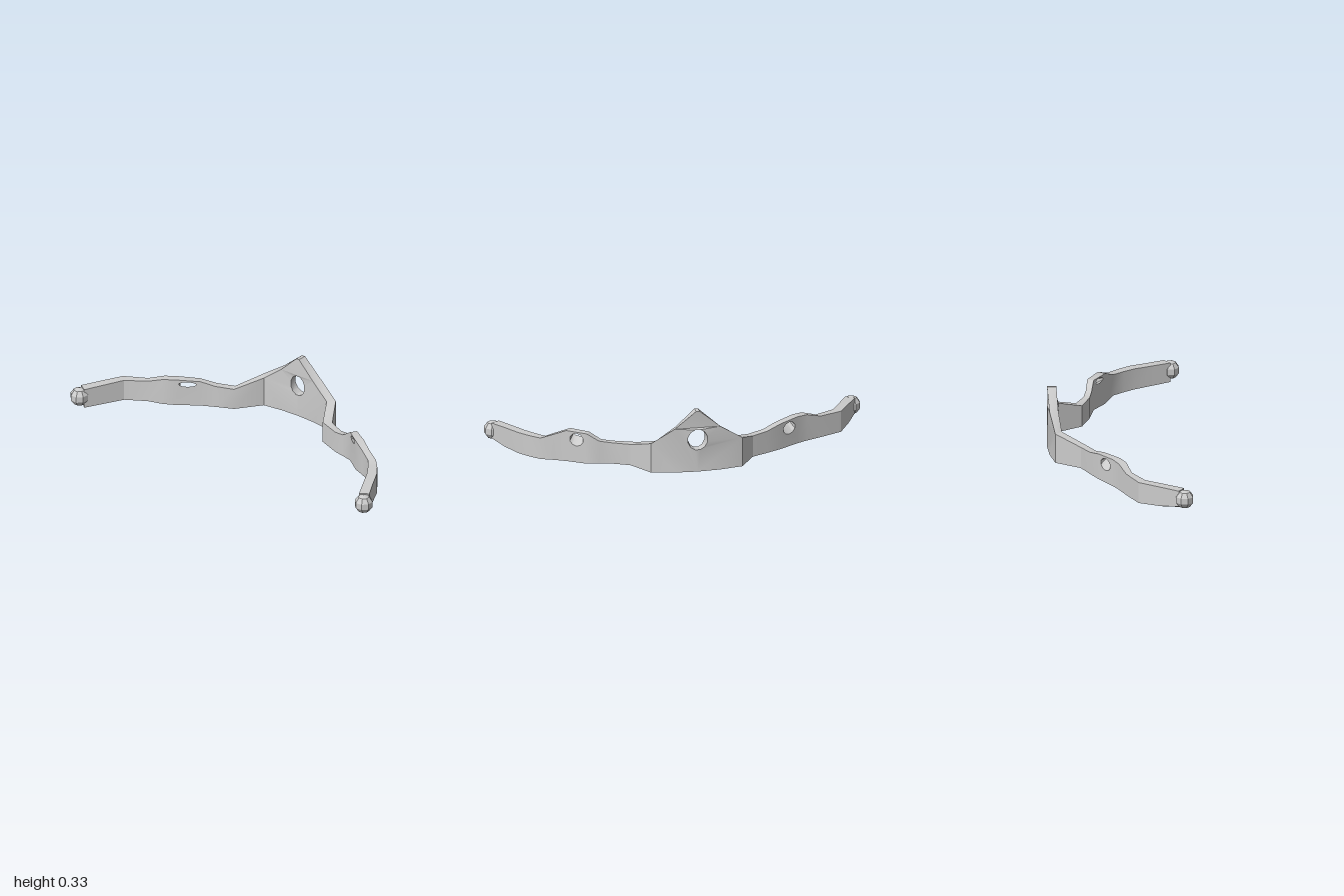
import * as THREE from 'three';
import { mergeGeometries, toCreasedNormals } from 'three/addons/utils/BufferGeometryUtils.js';

const material = new THREE.MeshStandardMaterial({ color: 0xcccccc, side: THREE.DoubleSide });

// Stations along the band: outer x, z, inner x, z, top height, outer bottom lift
const leftArm = [
  [-0.965, 0.285, -0.92, 0.315, 0.106, 0.022],
  [-0.915, 0.195, -0.87, 0.22, 0.11, 0.005],
  [-0.85, 0.08, -0.815, 0.115, 0.114, 0],
  [-0.73, 0.02, -0.71, 0.05, 0.117, 0],
  [-0.65, -0.015, -0.63, 0.025, 0.143, 0],
  [-0.595, -0.045, -0.575, -0.005, 0.147, 0],
  [-0.49, -0.115, -0.465, -0.085, 0.14, 0],
  [-0.41, -0.158, -0.395, -0.122, 0.12, 0],
  [-0.325, -0.2, -0.305, -0.165, 0.115, 0],
  [-0.243, -0.33, -0.21, -0.295, 0.16, 0],
];
const rightArm = [
  [0.243, -0.33, 0.21, -0.295, 0.16, 0],
  [0.325, -0.2, 0.285, -0.17, 0.115, 0],
  [0.415, -0.157, 0.405, -0.125, 0.115, 0],
  [0.48, -0.143, 0.465, -0.113, 0.124, 0],
  [0.545, -0.132, 0.525, -0.1, 0.165, 0],
  [0.64, -0.072, 0.612, -0.038, 0.169, 0],
  [0.7, -0.042, 0.678, -0.012, 0.142, 0],
  [0.767, -0.015, 0.735, 0.012, 0.116, 0],
  [0.82, 0.04, 0.78, 0.068, 0.115, 0],
  [0.865, 0.1, 0.82, 0.125, 0.114, 0],
  [0.915, 0.195, 0.87, 0.22, 0.11, 0.005],
  [0.965, 0.285, 0.92, 0.315, 0.106, 0.022],
];

const lerp = THREE.MathUtils.lerp;

function ring(u, y, ru, ry, sides = 10) {
  return Array.from({ length: sides }, (_, i) => {
    const a = (i / sides) * Math.PI * 2 + Math.PI / sides;
    return new THREE.Vector2(u + ru * Math.cos(a), y + ry * Math.sin(a));
  });
}

// Extrudes an outline in (u, y), drops the hidden joint faces, then bends it into place
function panel(outline, hole, map, keepStart, keepEnd) {
  const shape = new THREE.Shape(outline.map(([u, y]) => new THREE.Vector2(u, y)));
  if (hole) shape.holes.push(new THREE.Path(hole));
  const src = new THREE.ExtrudeGeometry(shape, { depth: 1, bevelEnabled: false }).attributes.position;
  const out = [];
  for (let i = 0; i < src.count; i += 3) {
    const us = [0, 1, 2].map((k) => src.getX(i + k));
    if (!keepStart && us.every((u) => u < 1e-4)) continue;
    if (!keepEnd && us.every((u) => u > 1 - 1e-4)) continue;
    for (let k = 0; k < 3; k++) out.push(...map(us[k], src.getY(i + k), src.getZ(i + k)));
  }
  const geometry = new THREE.BufferGeometry();
  geometry.setAttribute('position', new THREE.Float32BufferAttribute(out, 3));
  return geometry;
}

// One arm: a run of mitred panels, one of them pierced by a tapering socket
function arm(name, stations, socketIndex, socket, endFirst) {
  const parts = [];
  for (let i = 0; i < stations.length - 1; i++) {
    const a = stations[i], b = stations[i + 1];
    const pierced = i === socketIndex;
    const map = (u, y, w) => {
      const mix = (k) => lerp(a[k], b[k], u);
      let h = y;
      if (y === 0) h = mix(5) * (1 - w);
      else if (pierced && u > 0.01 && u < 0.99 && w > 0.5) {
        h = socket.top - (socket.top - y) * 0.4;
      }
      return [lerp(mix(0), mix(2), w), h, lerp(mix(1), mix(3), w)];
    };
    const hole = pierced ? ring(0.5, socket.y, 0.34, socket.r) : null;
    parts.push(panel([[0, 0], [1, 0], [1, b[4]], [0, a[4]]], hole, map,
      endFirst && i === 0, !endFirst && i === stations.length - 2));
  }
  const mesh = new THREE.Mesh(toCreasedNormals(mergeGeometries(parts), 0.5), material);
  mesh.name = name;
  return mesh;
}

// Peaked front plate, gently bowed, with a round opening
function centrePlate() {
  const outline = [[0, 0], [0.25, 0], [0.5, 0], [0.75, 0], [1, 0], [1, 0.16],
    [0.75, 0.24], [0.52, 0.333], [0.48, 0.333], [0.25, 0.24], [0, 0.16]];
  const map = (u, y, w) => {
    const t = u * 2 - 1;
    return [t * lerp(0.243, 0.21, w), y,
      lerp(-0.364 + 0.034 * t * t, -0.315 + 0.02 * t * t, w)];
  };
  const hole = ring(0.5, 0.176, 0.11, 0.057, 12);
  const mesh = new THREE.Mesh(toCreasedNormals(panel(outline, hole, map, false, false), 0.5), material);
  mesh.name = 'centrePlate';
  return mesh;
}

// Faceted knob at the end of an arm
function knob(side) {
  const geometry = new THREE.SphereGeometry(0.05, 8, 5);
  const facets = material.clone();
  facets.flatShading = true;
  const mesh = new THREE.Mesh(geometry, facets);
  mesh.name = side > 0 ? 'leftKnob' : 'rightKnob';
  mesh.rotation.y = side * 0.45;
  mesh.position.set(side * 0.952, 0.058, 0.316);
  return mesh;
}

export function createModel() {
  const group = new THREE.Group();
  group.name = 'circlet';
  group.add(
    arm('rightArm', leftArm, 5, { y: 0.1, r: 0.033, top: 0.135 }, true),
    centrePlate(),
    arm('leftArm', rightArm, 4, { y: 0.125, r: 0.035, top: 0.161 }, false),
    knob(-1),
    knob(1),
  );
  return group;
}
